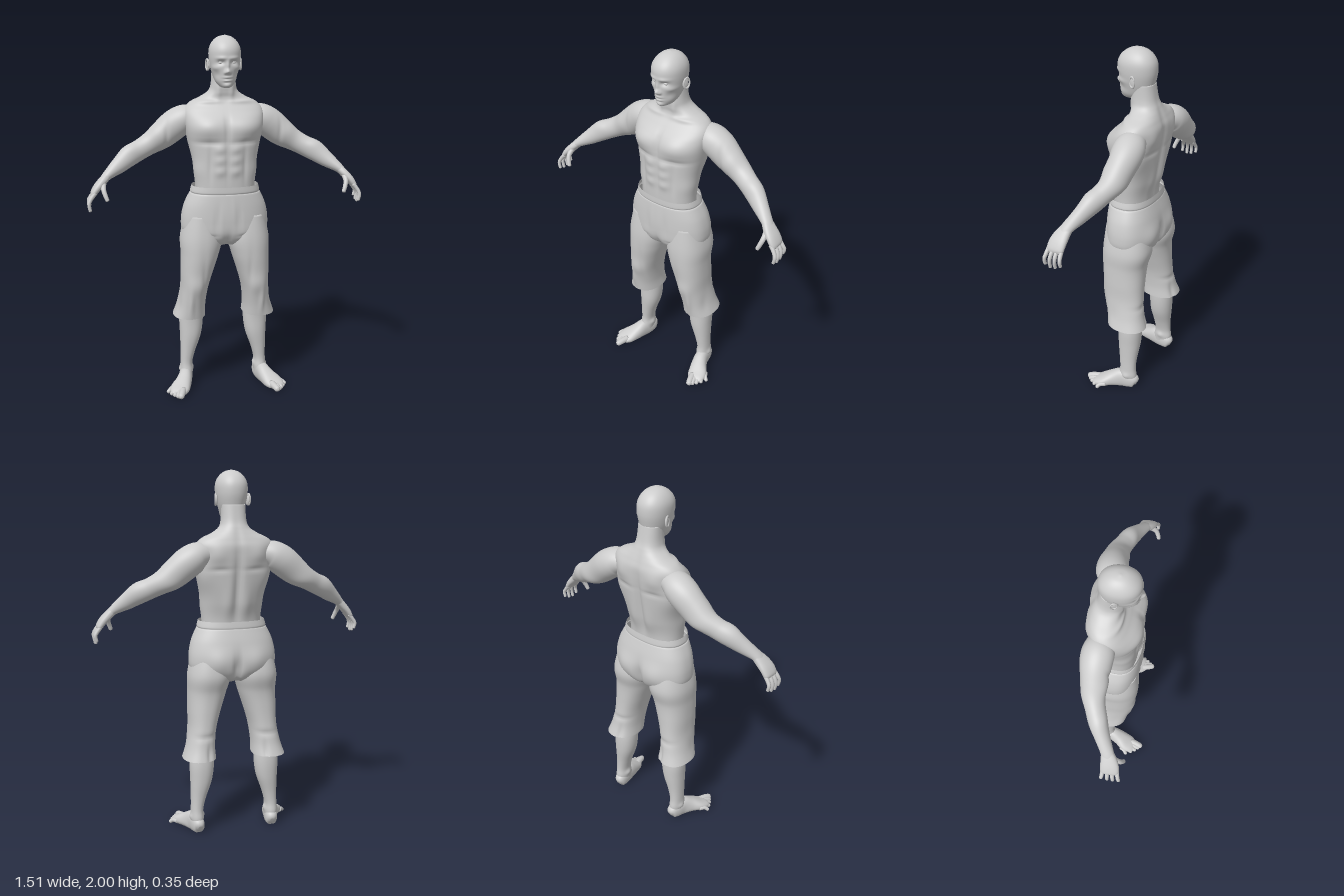
import * as THREE from 'three';

const V = (x, y, z) => new THREE.Vector3(x, y, z);
const body = new THREE.MeshStandardMaterial({ color: 0xcccccc, side: THREE.DoubleSide });
body.name = 'plain grey';

// Smoothly interpolates rows of numbers (Catmull-Rom on every column).
function resample(rows, steps) {
  const out = [], last = rows.length - 1;
  for (let s = 0; s <= last * steps; s++) {
    const i = Math.min(Math.floor(s / steps), last - 1), t = s / steps - i;
    const [a, b, c, d] = [rows[Math.max(i - 1, 0)], rows[i], rows[i + 1], rows[Math.min(i + 2, last)]];
    out.push(b.map((v, k) => v + 0.5 * t * (c[k] - a[k] + t * (2 * a[k] - 5 * v + 4 * c[k] - d[k]
      + t * (3 * (v - c[k]) + d[k] - a[k])))));
  }
  return out;
}

// Superellipse ring about a centre.
function ring(c, u, v, ru, rv, n, sides) {
  const pts = [], f = (q) => Math.sign(q) * Math.abs(q) ** (2 / n);
  for (let j = 0; j < sides; j++) {
    const a = (j / sides) * Math.PI * 2;
    pts.push(c.clone().addScaledVector(u, ru * f(Math.cos(a))).addScaledVector(v, rv * f(Math.sin(a))));
  }
  return pts;
}

// Skins the rings, then raises or sinks soft bumps [x, y, z, sx, sy, sz, height], mirrored in x.
function skin(rings, bumps = [], caps = [true, true]) {
  const n = rings[0].length, m = rings.length, pos = [], idx = [];
  rings.flat().forEach((p) => pos.push(p.x, p.y, p.z));
  for (let i = 0; i < m - 1; i++) for (let j = 0; j < n; j++) {
    const a = i * n + j, b = i * n + (j + 1) % n;
    idx.push(a, a + n, b, b, a + n, b + n);
  }
  [0, m - 1].forEach((r, e) => {
    if (!caps[e]) return;
    const c = rings[r].reduce((s, p) => s.add(p), V(0, 0, 0)).divideScalar(n), k = pos.length / 3;
    pos.push(c.x, c.y, c.z);
    for (let j = 0; j < n; j++) {
      const a = r * n + j, b = r * n + (j + 1) % n;
      idx.push(k, e ? b : a, e ? a : b);
    }
  });
  const g = new THREE.BufferGeometry();
  g.setAttribute('position', new THREE.Float32BufferAttribute(pos, 3));
  g.setIndex(idx);
  g.computeVertexNormals();
  const P = g.attributes.position, N = g.attributes.normal;
  for (let i = 0; i < P.count && bumps.length; i++) {
    const x = P.getX(i), y = P.getY(i), z = P.getZ(i);
    let h = 0;
    for (const [bx, by, bz, sx, sy, sz, amp] of bumps) {
      h += amp * Math.exp(-(((Math.abs(x) - bx) / sx) ** 2) - ((y - by) / sy) ** 2 - ((z - bz) / sz) ** 2);
    }
    P.setXYZ(i, x + N.getX(i) * h, y + N.getY(i) * h, z + N.getZ(i) * h);
  }
  g.computeVertexNormals();
  return g;
}

// Upright form, rows upward: [y, centre x, half width, front z, back z].
function upright(rows, { n = 2.2, sides = 64, steps = 6, bumps, caps } = {}) {
  const rings = resample(rows, steps).map(([y, cx, w, zf, zb]) =>
    ring(V(cx, y, (zf + zb) / 2), V(1, 0, 0), V(0, 0, 1), w, (zf - zb) / 2, n, sides));
  return skin(rings, bumps, caps);
}

// Limb along a path, rows: [x, y, z, radius along ref, radius across].
function limb(rows, ref, { sides = 32, steps = 6, bumps, n = 2 } = {}) {
  const pts = resample(rows, steps);
  const at = (i) => V(...pts[Math.max(0, Math.min(pts.length - 1, i))].slice(0, 3));
  return skin(pts.map((p, i) => {
    const t = at(i + 1).sub(at(i - 1)).normalize();
    const u = ref.clone().addScaledVector(t, -ref.dot(t)).normalize();
    return ring(at(i), u, u.clone().cross(t), p[3], p[4], n, sides);
  }), bumps);
}

function mirror(g) {
  const m = g.clone().scale(-1, 1, 1), a = m.index.array;
  for (let i = 0; i < a.length; i += 3) [a[i], a[i + 1]] = [a[i + 1], a[i]];
  m.computeVertexNormals();
  return m;
}

// Rounded digit tapering to its tip.
function digit(path, r, ref) {
  const rows = path.map((p, i) => [...p, r * (1 - 0.08 * i), r * (1 - 0.08 * i)]);
  const [a, b] = path.slice(-2).map((p) => V(...p));
  const d = b.clone().sub(a).normalize();
  [[0.5, 0.65], [0.8, 0.08]].forEach(([s, k]) => rows.push([...b.clone().addScaledVector(d, r * s).toArray(), r * k, r * k]));
  return limb(rows, ref, { sides: 14, steps: 4 });
}

export function createModel() {
  const root = new THREE.Group();
  const add = (name, g) => {
    const mesh = new THREE.Mesh(g, body);
    mesh.name = name;
    root.add(mesh);
  };
  const pair = (name, g) => { add('left' + name, g); add('right' + name, mirror(g)); };

  // Torso and neck with muscle relief
  const abs = [1.40, 1.34, 1.28].map((y) => [0.042, y, 0.11, 0.03, 0.026, 0.06, 0.009]);
  add('torso', upright([
    [1.06, 0, 0.16, 0.09, -0.10], [1.20, 0, 0.165, 0.10, -0.105], [1.30, 0, 0.172, 0.104, -0.13],
    [1.40, 0, 0.19, 0.107, -0.15], [1.50, 0, 0.21, 0.108, -0.163], [1.56, 0, 0.218, 0.088, -0.168],
    [1.605, 0, 0.215, 0.05, -0.168], [1.64, 0, 0.185, 0.018, -0.158], [1.67, 0, 0.125, 0.008, -0.147],
    [1.70, 0, 0.082, 0.012, -0.135], [1.74, 0, 0.068, 0.015, -0.12], [1.82, 0, 0.064, 0.01, -0.105],
  ], {
    n: 2.3, sides: 112, steps: 9, bumps: [...abs,
      [0.10, 1.515, 0.08, 0.075, 0.05, 0.08, 0.02], [0.10, 1.437, 0.1, 0.08, 0.012, 0.08, -0.008],
      [0, 1.5, 0.1, 0.012, 0.08, 0.05, -0.01], [0, 1.32, 0.1, 0.009, 0.1, 0.05, -0.005],
      [0.095, 1.32, 0.09, 0.012, 0.1, 0.05, -0.006], [0.15, 1.28, 0.03, 0.05, 0.05, 0.07, 0.007],
      [0.10, 1.645, 0.01, 0.07, 0.011, 0.06, 0.008], [0.035, 1.70, 0, 0.014, 0.05, 0.04, 0.006],
      [0, 1.40, -0.15, 0.02, 0.22, 0.06, -0.018], [0.05, 1.28, -0.12, 0.03, 0.1, 0.05, 0.008],
      [0.11, 1.56, -0.15, 0.05, 0.05, 0.06, 0.011], [0.17, 1.45, -0.1, 0.05, 0.08, 0.07, 0.012],
      [0.10, 1.48, -0.16, 0.06, 0.012, 0.05, -0.006]],
  }));

  // Head with the face modelled as soft relief
  add('head', upright([
    [1.727, 0, 0.022, 0.066, -0.02], [1.735, 0, 0.036, 0.076, -0.04], [1.76, 0, 0.055, 0.084, -0.07],
    [1.80, 0, 0.069, 0.088, -0.098], [1.84, 0, 0.079, 0.091, -0.11], [1.88, 0, 0.085, 0.096, -0.116],
    [1.92, 0, 0.085, 0.096, -0.114], [1.95, 0, 0.076, 0.084, -0.102], [1.975, 0, 0.058, 0.06, -0.08],
    [1.992, 0, 0.034, 0.03, -0.05], [2.0, 0, 0.004, -0.004, -0.012],
  ], {
    n: 2.15, sides: 128, steps: 9, bumps: [
      [0, 1.815, 0.09, 0.013, 0.013, 0.05, 0.021], [0, 1.843, 0.09, 0.009, 0.025, 0.05, 0.01],
      [0.013, 1.808, 0.09, 0.007, 0.008, 0.05, 0.006], [0.035, 1.860, 0.08, 0.019, 0.012, 0.05, -0.013],
      [0.03, 1.884, 0.09, 0.03, 0.009, 0.05, 0.005], [0.058, 1.832, 0.06, 0.02, 0.014, 0.05, 0.005],
      [0.052, 1.795, 0.06, 0.018, 0.02, 0.05, -0.004], [0, 1.783, 0.09, 0.02, 0.006, 0.05, 0.006],
      [0, 1.775, 0.09, 0.024, 0.003, 0.05, -0.004], [0, 1.766, 0.09, 0.018, 0.006, 0.05, 0.006],
      [0, 1.756, 0.09, 0.018, 0.005, 0.05, -0.004], [0, 1.741, 0.08, 0.02, 0.01, 0.05, 0.006]],
  }));
  pair('Eye', new THREE.SphereGeometry(0.0125, 20, 14).scale(1.1, 0.7, 1).translate(0.035, 1.860, 0.066));
  pair('Ear', new THREE.SphereGeometry(1, 20, 16).scale(0.007, 0.03, 0.019).rotateY(-0.25).translate(0.086, 1.842, -0.025));
  pair('EarRim', new THREE.TorusGeometry(0.02, 0.0045, 8, 28).scale(0.85, 1.4, 1).rotateY(Math.PI / 2 - 0.3)
    .translate(0.092, 1.844, -0.027));

  // Arms with shoulder, biceps and forearm
  const zAxis = V(0, 0, 1), xAxis = V(1, 0, 0);
  pair('Arm', limb([
    [0.13, 1.565, -0.085, 0.05, 0.045], [0.20, 1.555, -0.085, 0.08, 0.073], [0.26, 1.52, -0.09, 0.083, 0.083],
    [0.33, 1.465, -0.09, 0.07, 0.077], [0.40, 1.42, -0.083, 0.06, 0.061], [0.46, 1.387, -0.065, 0.052, 0.056],
    [0.52, 1.357, -0.042, 0.049, 0.056], [0.58, 1.313, -0.012, 0.04, 0.044], [0.64, 1.27, 0.02, 0.034, 0.027],
    [0.665, 1.245, 0.03, 0.036, 0.022],
  ], zAxis, {
    sides: 48, steps: 8, bumps: [[0.36, 1.47, -0.03, 0.05, 0.05, 0.04, 0.008], [0.36, 1.40, -0.13, 0.06, 0.04, 0.05, 0.008],
      [0.315, 1.47, -0.03, 0.012, 0.06, 0.05, -0.006], [0.51, 1.40, -0.02, 0.05, 0.03, 0.04, 0.005]],
  }));

  // Hands
  pair('Palm', limb([
    [0.645, 1.266, 0.022, 0.032, 0.022], [0.672, 1.238, 0.034, 0.042, 0.023], [0.70, 1.208, 0.042, 0.048, 0.021],
    [0.721, 1.178, 0.045, 0.047, 0.017], [0.729, 1.164, 0.045, 0.038, 0.008],
  ], zAxis, { n: 2.4 }));
  [[0.082, 0.094, 0.01], [0.057, 0.064, 0], [0.033, 0.035, 0.004], [0.01, 0.004, 0.02]].forEach(([z0, z1, up], i) => {
    pair('Finger' + (i + 1), digit([[0.712, 1.185, z0], [0.737, 1.152, z0 * 0.5 + z1 * 0.5],
      [0.747, 1.12 + up * 0.6, z1], [0.742, 1.088 + up, z1]], 0.0115, zAxis));
  });
  pair('Thumb', digit([[0.665, 1.235, 0.055], [0.668, 1.205, 0.085], [0.66, 1.175, 0.1], [0.652, 1.153, 0.106]], 0.0145, zAxis));

  // Trousers: hips with waistband, then two open legs
  add('trouserHips', upright([
    [0.86, 0, 0.11, 0.06, -0.10], [0.885, 0, 0.18, 0.09, -0.135], [0.93, 0, 0.235, 0.113, -0.158],
    [1.0, 0, 0.243, 0.118, -0.163], [1.08, 0, 0.228, 0.118, -0.15], [1.145, 0, 0.199, 0.115, -0.132],
    [1.155, 0, 0.190, 0.112, -0.128], [1.165, 0, 0.192, 0.115, -0.129], [1.195, 0, 0.184, 0.115, -0.125],
  ], {
    n: 2.4, sides: 96, steps: 8, caps: [true, false], bumps: [
      [0, 0.93, -0.16, 0.018, 0.08, 0.06, -0.03], [0.1, 0.98, -0.15, 0.06, 0.06, 0.06, 0.013],
      [0, 0.89, 0.11, 0.02, 0.06, 0.06, -0.012], [0.02, 1.04, 0.12, 0.012, 0.08, 0.04, 0.005],
      [0.06, 1.0, 0.12, 0.01, 0.08, 0.05, -0.005], [0.1, 0.92, 0.11, 0.035, 0.009, 0.05, -0.005]],
  }));
  pair('TrouserLeg', upright([
    [0.43, 0.2, 0.092, 0.056, -0.17], [0.5, 0.19, 0.08, 0.068, -0.15], [0.6, 0.175, 0.077, 0.09, -0.138],
    [0.7, 0.16, 0.09, 0.103, -0.135], [0.8, 0.143, 0.105, 0.113, -0.138], [0.9, 0.132, 0.117, 0.114, -0.158],
    [1.03, 0.13, 0.09, 0.1, -0.13],
  ], {
    n: 2.3, steps: 8, caps: [false, true], bumps: [
      [0.17, 0.63, 0.09, 0.045, 0.05, 0.05, 0.008], [0.2, 0.52, 0.07, 0.012, 0.08, 0.05, 0.009],
      [0.24, 0.5, 0, 0.05, 0.06, 0.03, -0.006], [0.17, 0.56, -0.14, 0.06, 0.014, 0.05, -0.007],
      [0.13, 0.72, 0.08, 0.014, 0.12, 0.05, -0.006], [0.16, 0.46, -0.16, 0.015, 0.06, 0.05, -0.01]],
  }));

  // Shins and feet
  pair('Shin', upright([
    [0.03, 0.216, 0.03, -0.01, -0.115], [0.08, 0.217, 0.036, -0.012, -0.121], [0.13, 0.217, 0.034, -0.02, -0.115],
    [0.2, 0.208, 0.042, -0.014, -0.118], [0.3, 0.192, 0.06, -0.003, -0.13], [0.4, 0.187, 0.068, 0.0, -0.133],
    [0.52, 0.183, 0.062, 0.01, -0.12],
  ], { bumps: [[0.25, 0.085, -0.07, 0.015, 0.016, 0.02, 0.008], [0.185, 0.095, -0.065, 0.015, 0.016, 0.02, 0.008]] }));
  const onGround = (g) => {
    const P = g.attributes.position;
    for (let i = 0; i < P.count; i++) P.setY(i, Math.max(P.getY(i), 0));
    g.computeVertexNormals();
    return g;
  };
  pair('Foot', onGround(limb([
    [0.212, 0.03, -0.125, 0.012, 0.015], [0.213, 0.036, -0.112, 0.03, 0.04], [0.218, 0.042, -0.08, 0.037, 0.052],
    [0.228, 0.045, -0.03, 0.039, 0.058], [0.246, 0.035, 0.02, 0.046, 0.045], [0.272, 0.022, 0.07, 0.055, 0.03],
    [0.286, 0.015, 0.105, 0.046, 0.02], [0.29, 0.012, 0.122, 0.03, 0.01],
  ], xAxis, { n: 2.3 })));
  for (let i = 0; i < 5; i++) {
    const t = i / 4, r = [0.0205, 0.0145, 0.0135, 0.013, 0.0125][i];
    const tip = [0.277 + 0.063 * t, r * 0.75, 0.158 - 0.035 * t - 0.05 * t * t];
    pair('Toe' + (i + 1), onGround(digit([[0.258 + 0.05 * t, 0.022, 0.095 - 0.06 * t],
      [0.268 + 0.058 * t, 0.02, 0.132 - 0.07 * t], tip], r, xAxis)));
  }
  return root;
}
